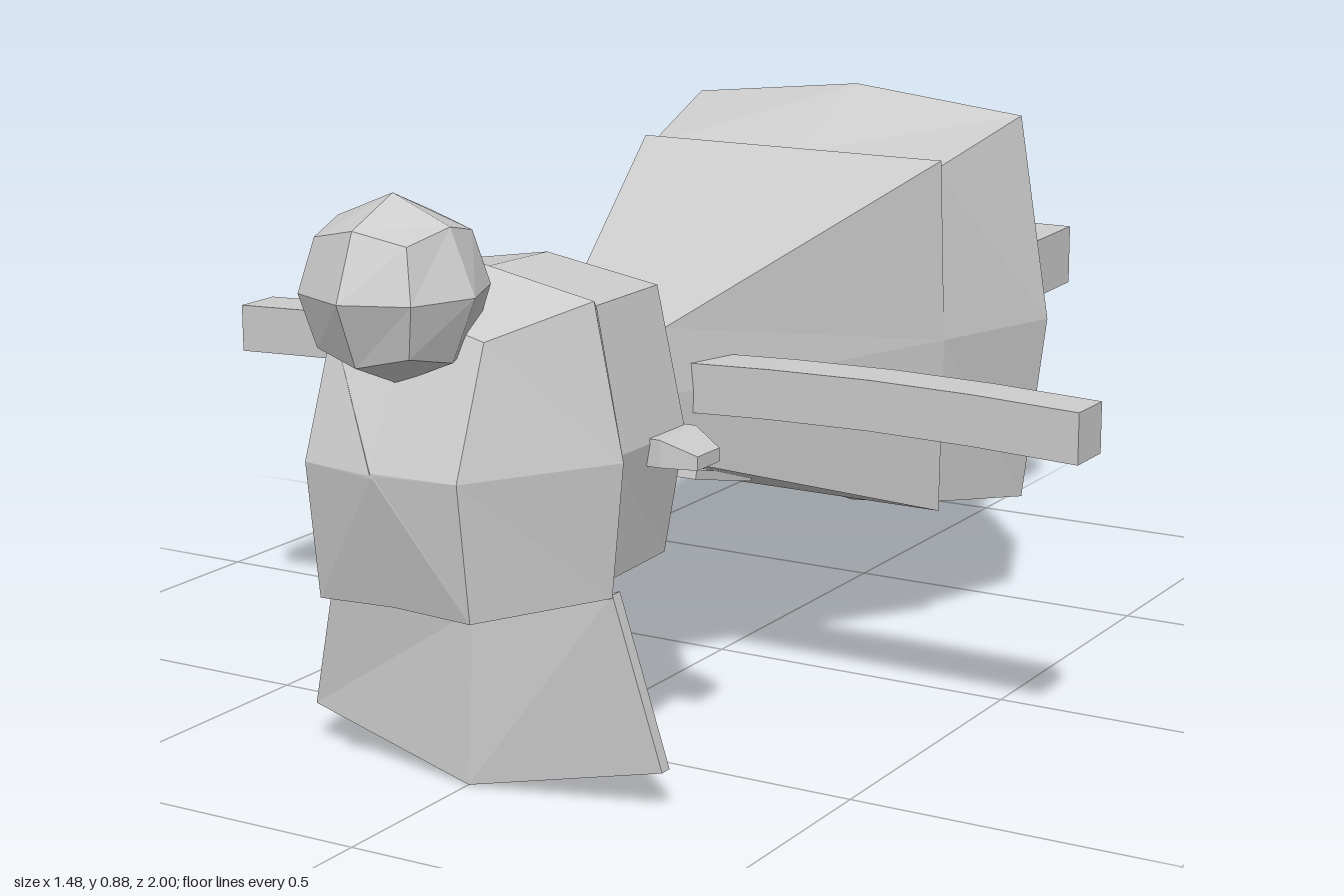
import * as THREE from 'three';

const mat = new THREE.MeshStandardMaterial({ color: 0xcccccc, flatShading: true, side: THREE.DoubleSide });

// Mirrored 8-point ring at depth z: heights at the middle, [x, y] of corners and side
function ring(z, top, [tx, ty], [sx, sy], [bx, by], bottom) {
  return [[sx, sy, z], [tx, ty, z], [0, top, z], [-tx, ty, z],
    [-sx, sy, z], [-bx, by, z], [0, bottom, z], [bx, by, z]];
}

// Skin a list of rings, closing both ends with a fan
function loft(rings) {
  const pos = [];
  const tri = (...p) => p.forEach(v => pos.push(...v));
  const centre = r => [0, 1, 2].map(k => r.reduce((s, v) => s + v[k], 0) / r.length);
  const n = rings[0].length, first = rings[0], last = rings[rings.length - 1];
  const c0 = centre(first), c1 = centre(last);
  for (let j = 0; j < n; j++) {
    const k = (j + 1) % n;
    for (let i = 0; i < rings.length - 1; i++) {
      const a = rings[i], b = rings[i + 1];
      tri(a[j], a[k], b[k]);
      tri(a[j], b[k], b[j]);
    }
    tri(c0, first[k], first[j]);
    tri(c1, last[j], last[k]);
  }
  const g = new THREE.BufferGeometry();
  g.setAttribute('position', new THREE.Float32BufferAttribute(pos, 3));
  g.computeVertexNormals();
  return g;
}

// Move every vertex of a geometry by a rule
function bend(g, rule) {
  const p = g.attributes.position, v = new THREE.Vector3();
  for (let i = 0; i < p.count; i++) {
    v.fromBufferAttribute(p, i);
    rule(v);
    p.setXYZ(i, v.x, v.y, v.z);
  }
  g.computeVertexNormals();
  return g;
}

export function createModel() {
  const model = new THREE.Group();
  model.name = 'lyingFigure';
  const add = (name, geometry, x = 0, y = 0, z = 0) => {
    const m = new THREE.Mesh(geometry, mat);
    m.name = name;
    m.position.set(x, y, z);
    model.add(m);
    return m;
  };

  // Hollow robe: inside, hem, skirt, small step, then the tapering body
  add('robe', loft([
    ring(0.0, 0.66, [0.15, 0.66], [0.16, 0.51], [0.15, 0.36], 0.36),
    ring(-0.455, 0.83, [0.265, 0.8], [0.31, 0.51], [0.275, 0.245], 0.2),
    ring(-0.455, 0.878, [0.305, 0.845], [0.36, 0.51], [0.32, 0.2], 0.15),
    ring(-0.22, 0.79, [0.265, 0.785], [0.285, 0.51], [0.275, 0.24], 0.24),
    ring(-0.22, 0.8, [0.275, 0.8], [0.285, 0.51], [0.28, 0.225], 0.225),
    ring(0.325, 0.61, [0.09, 0.61], [0.1, 0.51], [0.095, 0.41], 0.41),
  ]));
  const fold = add('robeFold', new THREE.BoxGeometry(0.12, 0.015, 0.18), 0, 0.327, 0.095);
  fold.rotation.x = -0.24;

  add('neck', new THREE.BoxGeometry(0.17, 0.18, 0.12), 0, 0.51, 0.34);

  // Head, with the face turned down
  add('head', loft([
    ring(0.355, 0.65, [0.1, 0.645], [0.12, 0.51], [0.1, 0.38], 0.37),
    ring(0.5, 0.745, [0.185, 0.715], [0.23, 0.51], [0.195, 0.325], 0.285),
    ring(0.69, 0.75, [0.19, 0.715], [0.23, 0.51], [0.205, 0.325], 0.275),
  ]));
  add('nose', new THREE.BoxGeometry(0.06, 0.2, 0.06), 0, 0.25, 0.505);

  // Hair cap: rim band, then the faceted crown
  const crown = ring(0.9, 0.715, [0.125, 0.69], [0.125, 0.51], [0.125, 0.31], 0.315);
  const crownZ = [0.915, 0.845, 0.83, 0.845, 0.915, 0.89, 0.89, 0.89];
  crown.forEach((v, i) => { v[2] = crownZ[i]; });
  const front = crown.map(([x, y, z]) => [x * 0.02, 0.51 + (y - 0.51) * 0.02, 0.934]);
  add('hairCap', loft([
    ring(0.675, 0.75, [0.195, 0.715], [0.235, 0.51], [0.21, 0.32], 0.28),
    ring(0.705, 0.77, [0.21, 0.73], [0.255, 0.51], [0.235, 0.315], 0.255),
    crown, front,
  ]));

  // Flared flap of hair below the cap
  add('hairFlap', bend(new THREE.BoxGeometry(2, 1, 0.02, 2, 1, 1), v => {
    const side = Math.abs(v.x), low = v.y < 0;
    v.x *= low ? 0.3 : 0.235;
    v.y = low ? 0.005 + 0.06 * side : 0.26 + 0.06 * side;
    v.z += low ? 0.712 - 0.04 * side : 0.695;
  }));

  // Bun: a subdivided cube rounded into a ball
  add('hairBun', bend(new THREE.BoxGeometry(1, 1, 1, 2, 2, 2), v => v.setLength(0.13)), 0, 0.755, 0.87);

  for (const s of [1, -1]) {
    const side = s > 0 ? 'left' : 'right';
    add(side + 'Arm', bend(new THREE.BoxGeometry(0.66, 0.076, 0.08, 4, 1, 1), v => {
      const t = v.x + 0.33;
      v.y += 0.01 * Math.sin(t * 4.5);
    }), s * 0.41, 0.511, 0.242).rotation.y = s > 0 ? 0 : Math.PI;

    add(side + 'Leg', bend(new THREE.BoxGeometry(0.086, 0.104, 1, 1, 1, 4), v => {
      v.y += 0.06 * (v.z + 0.15) ** 2;
    }), s * 0.115, 0.503, -0.5);

    // Ear tapers outwards
    add(side + 'Ear', bend(new THREE.BoxGeometry(0.1, 0.04, 0.1, 2, 1, 1), v => {
      if (v.x * s > 0.04) { v.z *= 0.6; v.y = v.y * 0.5 - 0.012; }
    }), s * 0.245, 0.497, 0.545);
  }
  return model;
}
